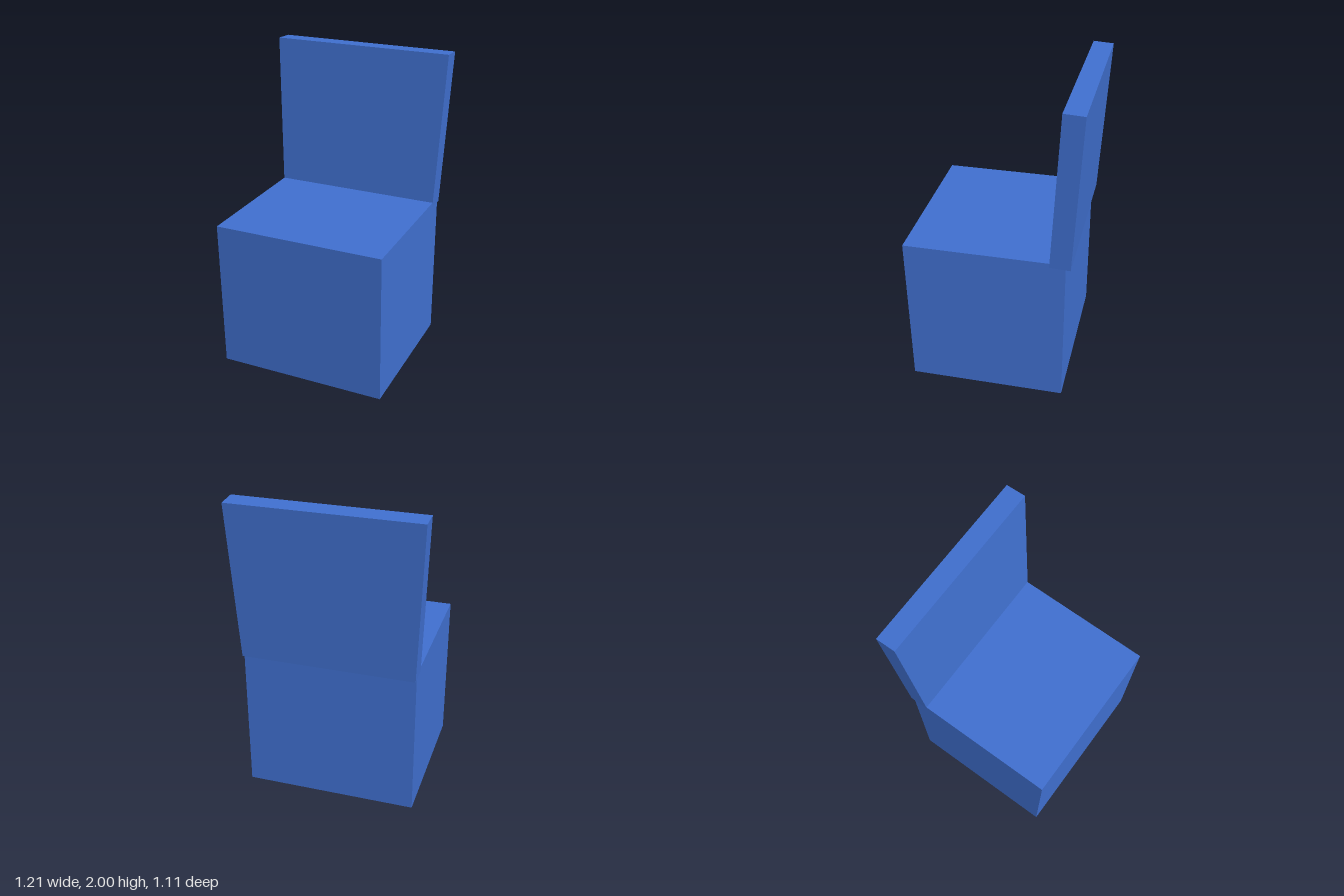
import * as THREE from 'three';

const material = new THREE.MeshStandardMaterial({ color: 0x4070d0, flatShading: true });

// Six-sided block: a side outline of four [z, y] corners (bottom front, bottom back,
// top front, top back) with a half width at the bottom and at the top.
function taperedBlock(name, [bottomFront, bottomBack, topFront, topBack], bottomHalf, topHalf) {
  const geometry = new THREE.BoxGeometry(2, 2, 2);
  const p = geometry.attributes.position;
  for (let i = 0; i < p.count; i++) {
    const top = p.getY(i) > 0;
    const front = p.getZ(i) > 0;
    const [z, y] = top ? (front ? topFront : topBack) : (front ? bottomFront : bottomBack);
    p.setXYZ(i, p.getX(i) * (top ? topHalf : bottomHalf), y, z);
  }
  geometry.computeVertexNormals();
  const mesh = new THREE.Mesh(geometry, material);
  mesh.name = name;
  return mesh;
}

export function createModel() {
  const chair = new THREE.Group();
  chair.name = 'chair';

  // Solid seat block, its front leaning slightly forward at the top
  chair.add(taperedBlock('seat', [[0.53, 0], [-0.47, 0], [0.557, 1], [-0.47, 1]], 0.56, 0.56));

  // Backrest, reclined and wider at the top, overlapping the rear of the seat
  chair.add(taperedBlock('backrest',
    [[-0.368, 0.972], [-0.5, 0.965], [-0.425, 2], [-0.557, 1.993]], 0.56, 0.603));

  return chair;
}
